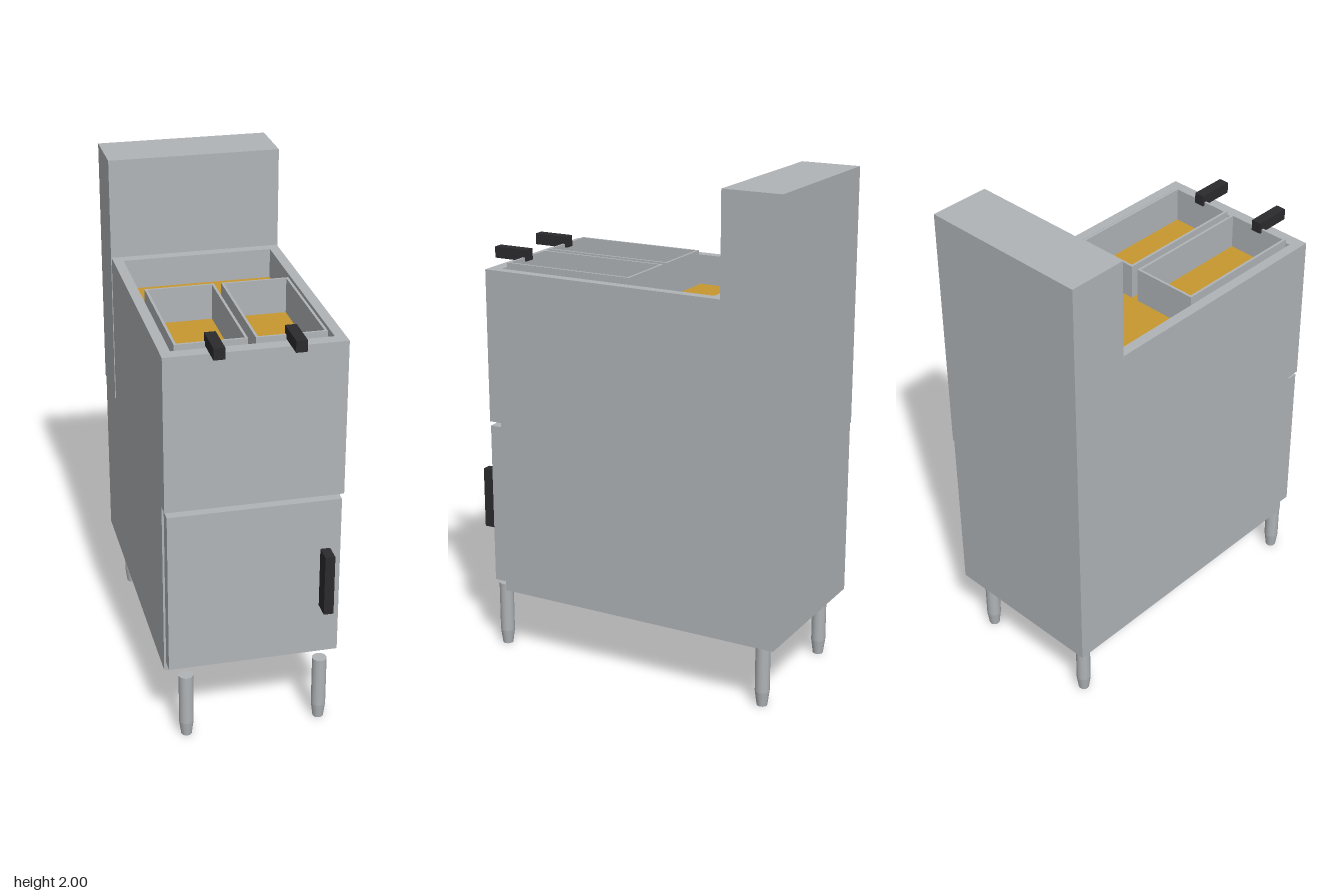
import * as THREE from 'three';

const mat = (name, color) => {
  const m = new THREE.MeshStandardMaterial({ color });
  m.name = name;
  return m;
};

export function createModel() {
  const steel = mat('steel', 0xb0b4b7);
  const oilGold = mat('oil gold', 0xc8982f);
  const black = mat('black plastic', 0x2b2b2e);

  const group = new THREE.Group();
  group.name = 'deepFryer';

  const add = (name, geometry, material) => {
    const mesh = new THREE.Mesh(geometry, material);
    mesh.name = name;
    group.add(mesh);
    return mesh;
  };

  // Box given by its limits on each axis
  const box = (name, material, [x0, x1], [y0, y1], [z0, z1]) =>
    add(name, new THREE.BoxGeometry(x1 - x0, y1 - y0, z1 - z0), material)
      .position.set((x0 + x1) / 2, (y0 + y1) / 2, (z0 + z1) / 2);

  const rect = (path, x0, x1, z0, z1) => {
    path.moveTo(x0, -z1);
    path.lineTo(x1, -z1);
    path.lineTo(x1, -z0);
    path.lineTo(x0, -z0);
    path.closePath();
    return path;
  };

  // Upright rectangular tube, open at top and bottom
  const frame = (name, material, outer, inner, y0, y1) => {
    const shape = rect(new THREE.Shape(), ...outer);
    shape.holes.push(rect(new THREE.Path(), ...inner));
    const geometry = new THREE.ExtrudeGeometry(shape, { depth: y1 - y0, bevelEnabled: false });
    geometry.rotateX(-Math.PI / 2);
    add(name, geometry, material).position.y = y0;
  };

  // Cabinet, with the overhanging vat section above it
  box('cabinet', steel, [-0.34, 0.34], [0.27, 0.985], [-0.661, 0.54]);
  frame('vatSection', steel, [-0.34, 0.34, -0.661, 0.592], [-0.3, 0.3, -0.38, 0.54], 0.985, 1.6);
  box('flue', steel, [-0.343, 0.343], [0.983, 2], [-0.664, -0.425]);

  // Oil surface inside the vat
  box('oil', oilGold, [-0.3, 0.3], [1.475, 1.48], [-0.38, 0.54]);

  // Fry baskets dipping into the oil, with their handles
  const wall = 0.01;
  for (const [x0, x1] of [[-0.286, -0.017], [0.011, 0.276]]) {
    const mid = (x0 + x1) / 2;
    frame('fryBasket', steel, [x0, x1, -0.01, 0.534],
      [x0 + wall, x1 - wall, -0.01 + wall, 0.534 - wall], 1.4, 1.62);
    box('basketHandle', black, [mid - 0.021, mid + 0.021], [1.605, 1.65], [0.515, 0.664]);
  }

  // Door and its handle
  box('door', steel, [-0.332, 0.332], [0.305, 0.965], [0.54, 0.594]);
  box('doorHandle', black, [0.254, 0.292], [0.512, 0.76], [0.594, 0.664]);

  // Legs with tapered feet
  const R = 0.029;
  for (const x of [-0.265, 0.265]) {
    for (const z of [-0.585, 0.588]) {
      const shank = new THREE.CylinderGeometry(R, R, 0.21, 12);
      add('leg', shank, steel).position.set(x, 0.165, z);
      const foot = new THREE.CylinderGeometry(R, 0.021, 0.06, 12);
      add('foot', foot, steel).position.set(x, 0.03, z);
    }
  }

  return group;
}
